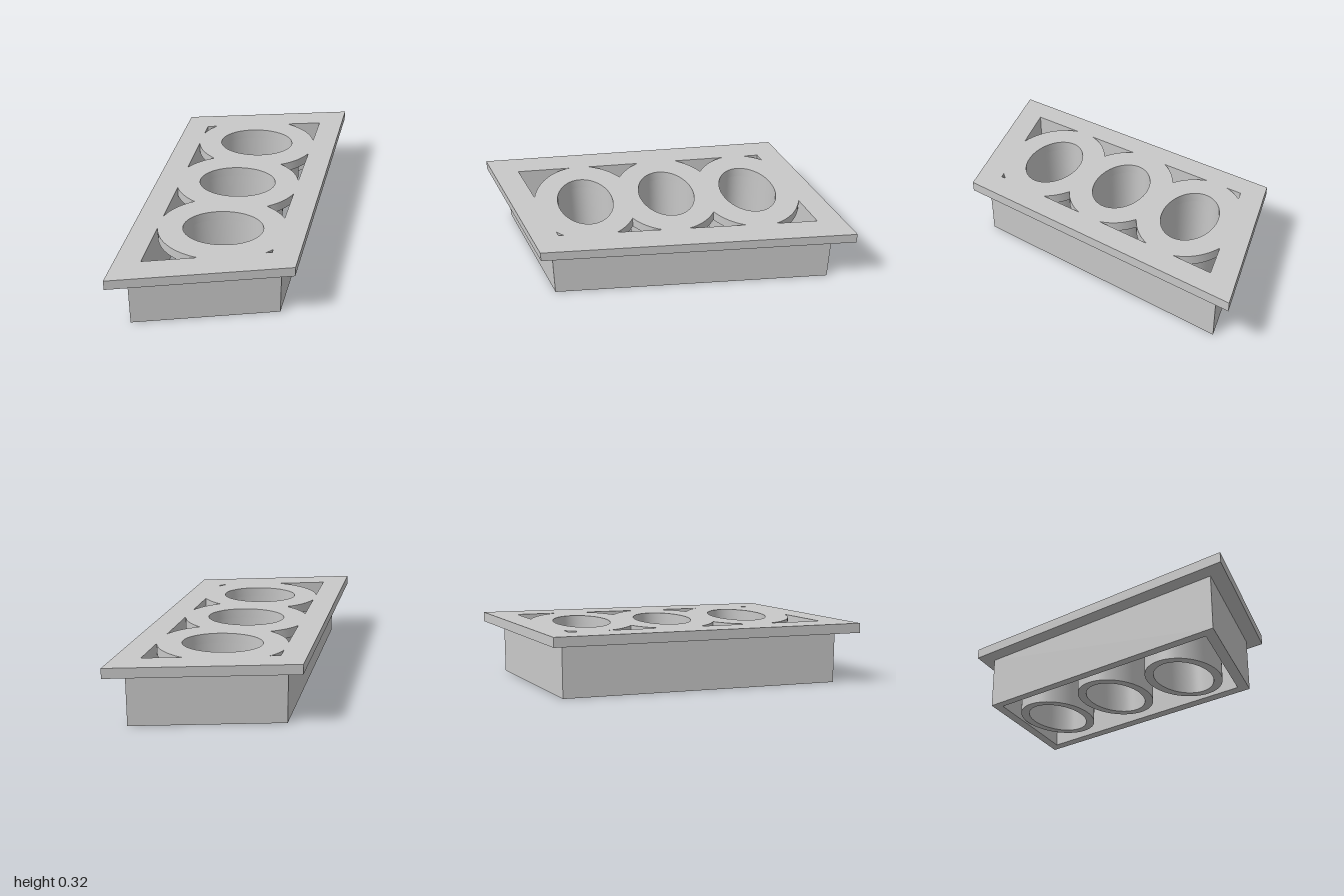
import * as THREE from 'three';
import { toCreasedNormals } from 'three/addons/utils/BufferGeometryUtils.js';

// Plan coordinates are (x, -z), counter-clockwise, extruded upwards
const plan = (pts) => pts.map(([x, z]) => new THREE.Vector2(x, -z));

const flange = plan([[-1, 0.177], [-0.305, 0.702], [1, -0.128], [0.298, -0.704]]);
const wallOuter = plan([[-0.872, 0.18], [-0.302, 0.614], [0.874, -0.132], [0.3, -0.612]]);
const wallInner = plan([[-0.787, 0.18], [-0.3, 0.548], [0.787, -0.14], [0.292, -0.553]]);
const centres = plan([[-0.33, 0.245], [0.007, -0.008], [0.368, -0.232]]);

const WALL_HEIGHT = 0.268, PLATE = 0.05, TILT = -Math.PI / 4;
const HOLE = [0.196, 0.139], TUBE = [0.24, 0.183], RIM = [0.318, 0.258];

// Slanted ellipse with semi-axes a and b around a centre
function ellipse(c, [a, b], n = 72) {
  return Array.from({ length: n }, (_, i) => {
    const t = (i / n) * Math.PI * 2;
    return new THREE.Vector2(a * Math.cos(t), b * Math.sin(t))
      .rotateAround(new THREE.Vector2(), TILT).add(c);
  });
}

// Upright ring: an outline with one hole, from height y upwards
function ring(name, outline, hole, y, height, material) {
  const shape = new THREE.Shape(outline);
  shape.holes.push(new THREE.Path(hole));
  const geo = new THREE.ExtrudeGeometry(shape, { depth: height, bevelEnabled: false });
  geo.rotateX(-Math.PI / 2);
  const mesh = new THREE.Mesh(toCreasedNormals(geo, Math.PI / 7), material);
  mesh.name = name;
  mesh.position.y = y;
  return mesh;
}

export function createModel() {
  const grey = new THREE.MeshStandardMaterial({ color: 0xc8c8c8 });
  grey.name = 'grey';
  const group = new THREE.Group();
  group.name = 'threeHoleBlock';

  // Flat frame on top and the skirt wall below it
  group.add(ring('topFrame', flange, wallInner, WALL_HEIGHT, PLATE, grey));
  group.add(ring('skirtWall', wallOuter, wallInner, 0, WALL_HEIGHT, grey));

  // Wide rims bridge the frame and leave the corner openings; a tube hangs below each
  centres.forEach((c, i) => {
    const hole = ellipse(c, HOLE);
    group.add(ring('rim' + (i + 1), ellipse(c, RIM), hole, WALL_HEIGHT, PLATE, grey));
    group.add(ring('tube' + (i + 1), ellipse(c, TUBE), hole, 0, WALL_HEIGHT, grey));
  });
  return group;
}
